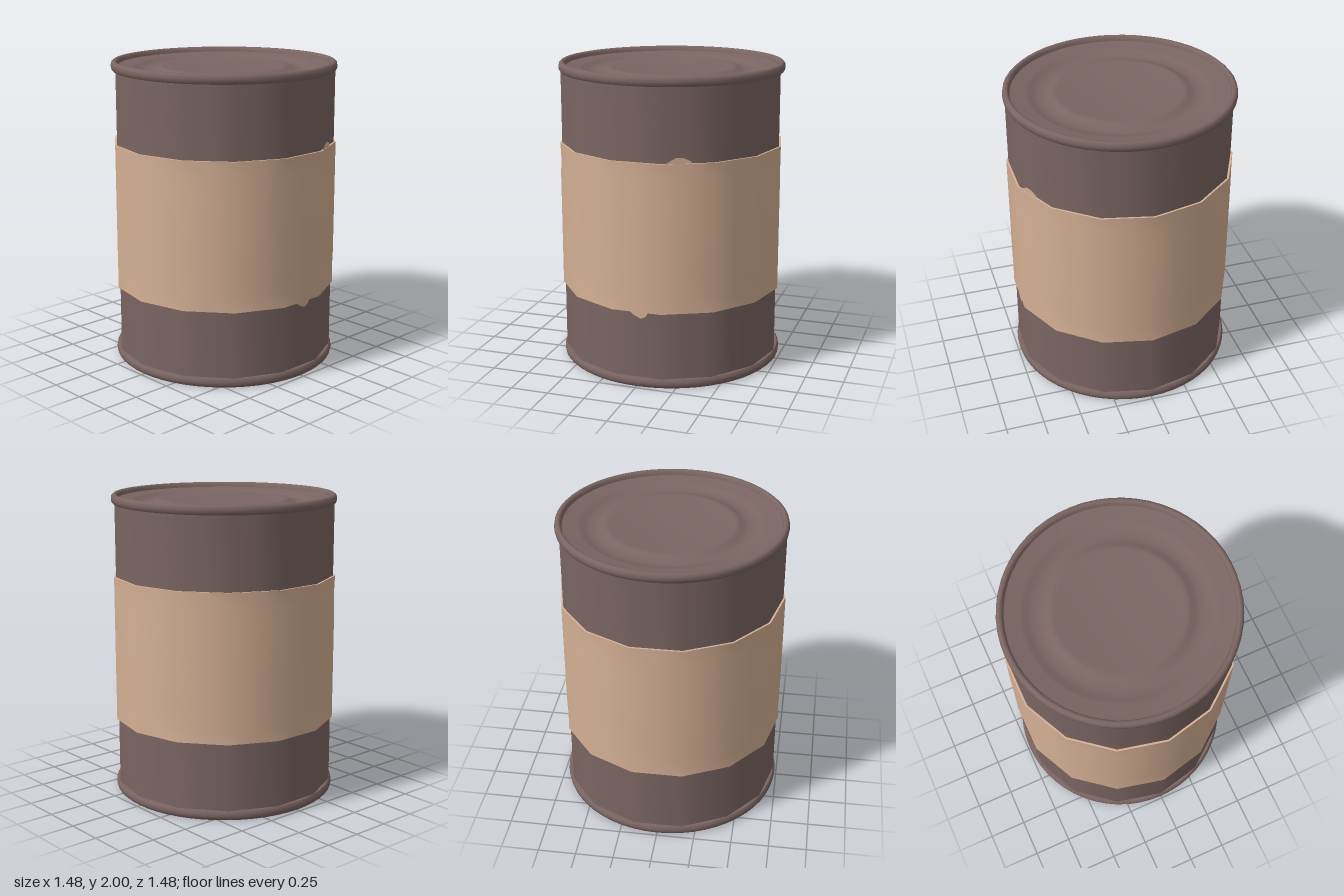
import * as THREE from 'three';
import { toCreasedNormals } from 'three/addons/utils/BufferGeometryUtils.js';

const SIDES = 14;
const STEP = (Math.PI * 2) / SIDES;
const BODY_R = 0.727;
const LABEL_R = 0.74;
const APOTHEM = Math.cos(STEP / 2);

const tin = new THREE.MeshStandardMaterial({ color: 0x7a6562 });
tin.name = 'dull tin';
const paper = new THREE.MeshStandardMaterial({ color: 0xd4af94, side: THREE.DoubleSide });
paper.name = 'tan paper';

function lathe(points, segments) {
  return new THREE.LatheGeometry(points.map(([r, y]) => new THREE.Vector2(r, y)), segments);
}

// Flattens a round lathe into a 14-sided wall; dent(angle, y) pushes it inwards
function facetWall(geometry, dent) {
  const p = geometry.attributes.position;
  for (let i = 0; i < p.count; i++) {
    const x = p.getX(i), y = p.getY(i), z = p.getZ(i);
    const angle = Math.atan2(x, z);
    const fromMiddle = angle - (Math.floor(angle / STEP + 1e-4) + 0.5) * STEP;
    const k = APOTHEM / Math.cos(fromMiddle) - dent(angle, y);
    p.setXYZ(i, x * k, y, z * k);
  }
  return toCreasedNormals(geometry, 0.6);
}

// Small paper tear lying on one flat side of the label; outline is in [z, y]
function paperTear(outline, side) {
  const a = side * STEP;
  const r = (LABEL_R - 0.003) * APOTHEM;
  const geometry = new THREE.ShapeGeometry(new THREE.Shape(outline.map(([z, y]) => new THREE.Vector2(-z, y))));
  const p = geometry.attributes.position;
  for (let i = 0; i < p.count; i++) {
    const z = -p.getX(i);
    p.setXYZ(i, (r - z * Math.sin(a)) / Math.cos(a), p.getY(i), z);
  }
  geometry.computeVertexNormals();
  return geometry;
}

export function createModel() {
  const group = new THREE.Group();
  const add = (name, geometry, material) => {
    const mesh = new THREE.Mesh(geometry, material);
    mesh.name = name;
    group.add(mesh);
    return mesh;
  };

  // Tin wall
  add('canWall', facetWall(lathe([[BODY_R, 0.04], [BODY_R, 1.96]], SIDES * 2), () => 0), tin);

  // Paper label with soft crumples along both edges
  const labelProfile = [[0.715, 0.505], [LABEL_R, 0.505]];
  for (const y of [0.6, 0.72, 0.98, 1.25, 1.37, 1.47]) labelProfile.push([LABEL_R, y]);
  labelProfile.push([0.715, 1.47]);
  const crumple = (angle, y) => {
    const nearEdge = (y > 1.3 && y < 1.45) || (y < 0.65 && y > 0.52) ? 1 : 0;
    return nearEdge * 0.006 * Math.max(0, Math.sin(angle * 5 + y * 4));
  };
  add('label', facetWall(lathe(labelProfile, SIDES * 2), crumple), paper);

  // Torn scraps of the label
  add('upperTear', paperTear([[-0.18, 1.465], [-0.22, 1.49], [-0.25, 1.508], [-0.29, 1.505],
    [-0.33, 1.485], [-0.34, 1.465]], -1), paper);
  add('lowerTear', paperTear([[0.05, 0.51], [0.02, 0.485], [-0.03, 0.462], [-0.06, 0.478],
    [-0.08, 0.51]], 0), paper);

  // Pressed lid with a round groove, running out to the rolled rim
  const lidProfile = [
    [0.7, 1.938], [0.728, 1.938], [0.737, 1.95], [0.74, 1.968], [0.736, 1.988], [0.724, 1.999],
    [0.71, 1.999], [0.7, 1.99], [0.694, 1.967], [0.68, 1.963], [0.6, 1.963], [0.575, 1.957],
    [0.55, 1.945], [0.52, 1.94], [0.48, 1.94], [0.455, 1.945], [0.43, 1.958], [0.41, 1.963],
    [0.39, 1.96], [0, 1.96],
  ];
  const lidGeometry = toCreasedNormals(lathe(lidProfile, 56), 0.9);
  add('topLid', lidGeometry, tin);

  // The base is the same pressing turned over
  const base = add('baseLid', lidGeometry, tin);
  base.rotation.x = Math.PI;
  base.position.y = 2;

  return group;
}
